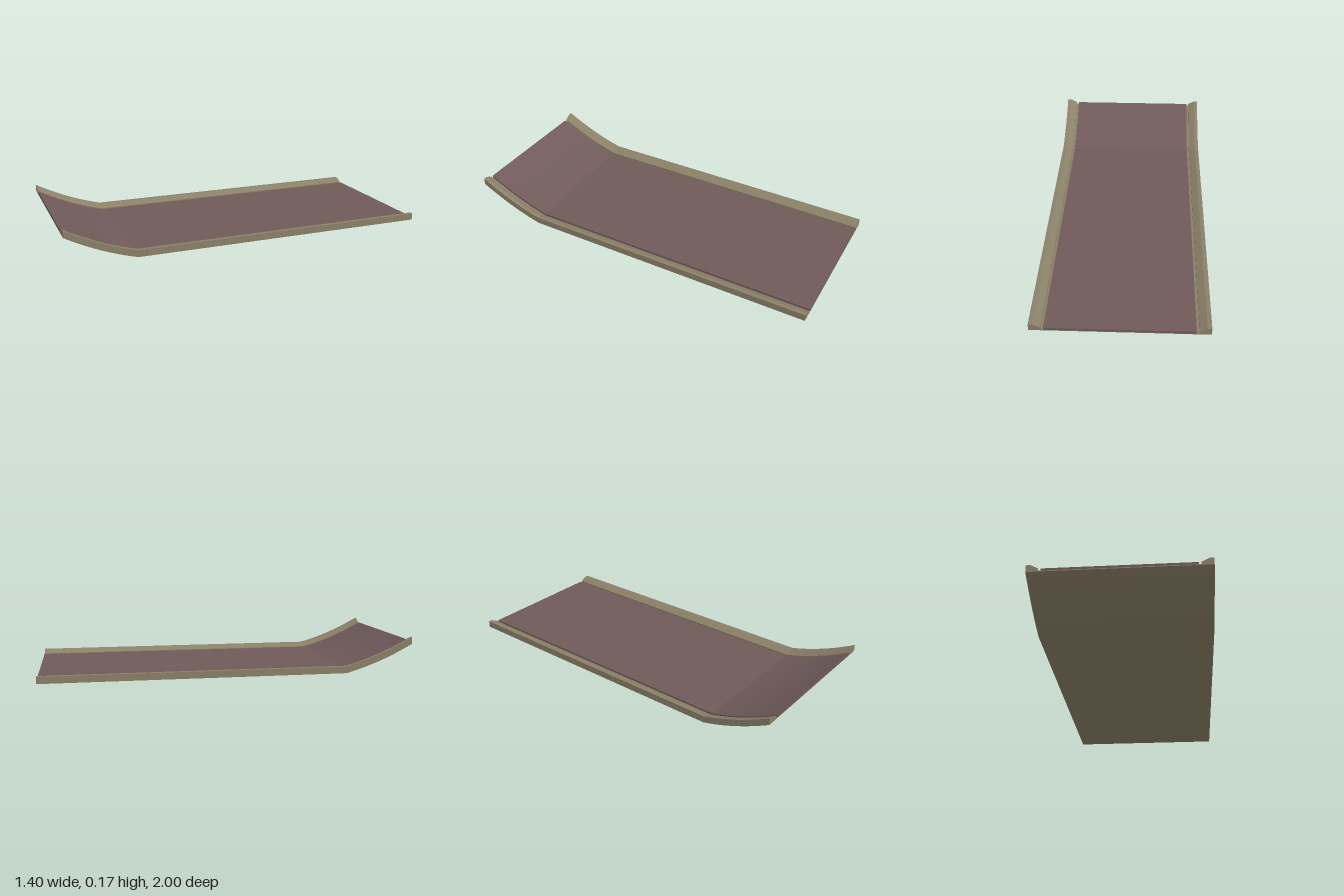
import * as THREE from 'three';
import { toCreasedNormals } from 'three/addons/utils/BufferGeometryUtils.js';

const HALF_L = 0.916, HALF_W = 0.403, BEND_Z = 0.578, RISE = 0.137, STEPS = 11;

// Sweep a cross-section along the length, curling the front end upward
function sweep(name, points, color) {
  const shape = new THREE.Shape(points.map(([x, y]) => new THREE.Vector2(x, y)));
  const geo = new THREE.ExtrudeGeometry(shape, { depth: STEPS, steps: STEPS, bevelEnabled: false });
  const pos = geo.attributes.position;
  for (let i = 0; i < pos.count; i++) {
    const k = Math.round(pos.getZ(i));
    const t = Math.max(0, (k - 1) / (STEPS - 1));
    pos.setZ(i, k === 0 ? -HALF_L : BEND_Z + t * (HALF_L - BEND_Z));
    pos.setY(i, pos.getY(i) + RISE * (0.62 * t + 0.38 * t * t));
  }
  geo.computeVertexNormals();
  const mesh = new THREE.Mesh(toCreasedNormals(geo, 0.18), new THREE.MeshStandardMaterial({ color }));
  mesh.name = name;
  return mesh;
}

export function createModel() {
  const group = new THREE.Group();
  group.name = 'curvedTray';

  // Frame: thin floor with a chamfered rail along each long side
  const w = HALF_W, floor = 0.004;
  const rail = [[w, 0], [w, 0.034], [w - 0.02, 0.034], [w - 0.054, 0.016], [w - 0.054, floor]];
  const mirrored = rail.map(([x, y]) => [-x, y]).reverse();
  group.add(sweep('railFrame', [...rail, ...mirrored], 0x8b8068));

  // Panel lying between the rails, with a narrow groove on each side
  const p = w - 0.066;
  group.add(sweep('panel', [[-p, 0.002], [p, 0.002], [p, 0.015], [-p, 0.015]], 0x705a5a));

  // The tray lies turned on the ground
  group.rotation.y = -0.3595;
  return group;
}
